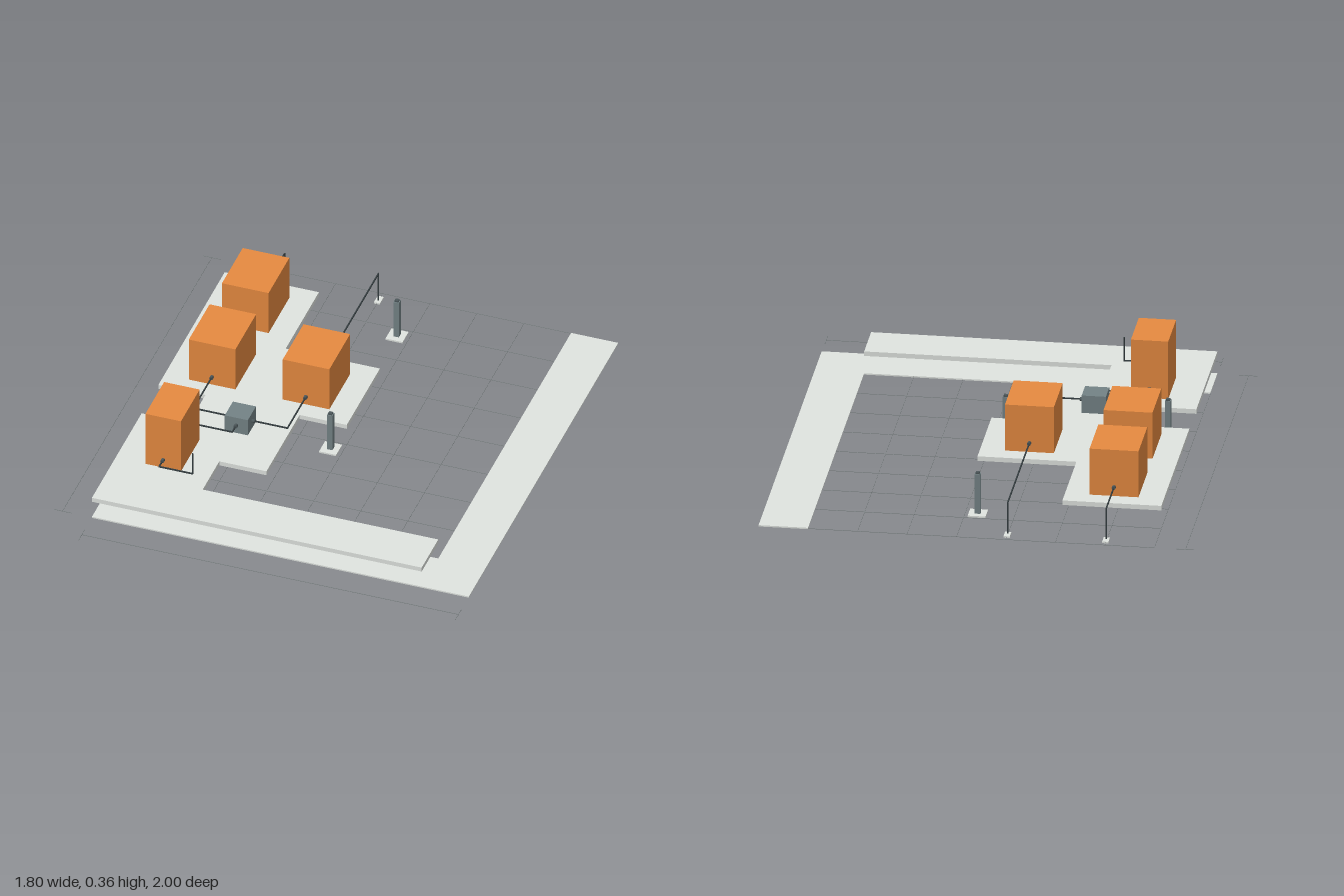
import * as THREE from 'three';

const paint = (name, color) => Object.assign(new THREE.MeshStandardMaterial({ color }), { name });

export function createModel() {
  const model = new THREE.Group();
  const concrete = paint('concrete', 0xe0e4e0);
  const orange = paint('orange', 0xe68a40);
  const slate = paint('slate', 0x748386);
  const dark = paint('dark', 0x343d40);
  const fitting = paint('fitting', 0x4d585b);
  const lineGrey = paint('lineGrey', 0x7d8485);

  // Box given by its minimum and maximum corners
  const block = (name, mat, x0, x1, y0, y1, z0, z1, parent = model) => {
    const mesh = new THREE.Mesh(new THREE.BoxGeometry(x1 - x0, y1 - y0, z1 - z0), mat);
    mesh.position.set((x0 + x1) / 2, (y0 + y1) / 2, (z0 + z1) / 2);
    mesh.name = name;
    parent.add(mesh);
  };
  // Flat plate from an outline of [x, z] points
  const plate = (name, points, y, height) => {
    const shape = new THREE.Shape(points.map(([x, z]) => new THREE.Vector2(x, -z)));
    const geo = new THREE.ExtrudeGeometry(shape, { depth: height, bevelEnabled: false });
    const mesh = new THREE.Mesh(geo.rotateX(-Math.PI / 2), concrete);
    mesh.position.y = y;
    mesh.name = name;
    model.add(mesh);
  };
  const group = (name) => {
    const g = new THREE.Group();
    g.name = name;
    model.add(g);
    return g;
  };

  // Layout cell and the site limits
  const cell = 1.633 / 8, X0 = -0.735, X1 = 0.898, Z0 = -1, Z1 = 0.833;
  const gx = (i) => X0 + i * cell, gz = (i) => Z0 + i * cell * 0.998;

  // Ground strip along the left side and front
  plate('groundStrip', [[gx(7), Z0], [X1, Z0], [X1, Z1], [X0, Z1], [X0, gz(8)], [gx(7), gz(8)]], 0, 0.006);

  // Raised stepped deck, as cell corners
  const deck = [[0, 1], [2, 1], [2, 3], [4, 3], [4, 5], [3, 5], [3, 7], [2, 7], [2, 8], [7, 8], [7, 9],
    [0, 9], [0, 6], [1, 6], [1, 5], [0, 5]];
  plate('deck', deck.map(([i, j]) => [gx(i), gz(j)]), 0.083, 0.02);

  // Ground grid
  const grid = group('groundGrid'), t = 0.0006;
  for (let i = 0; i < 7; i++) block('gridLine', lineGrey, gx(i) - t, gx(i) + t, 0.002, 0.004, Z0, gz(8), grid);
  for (let j = 0; j < 8; j++) block('gridLine', lineGrey, X0, gx(7), 0.002, 0.004, gz(j) - t, gz(j) + t, grid);

  // Dimension lines with end ticks
  const dims = group('dimensionLines'), d = 0.001;
  block('sideLine', lineGrey, -0.863 - d, -0.863 + d, 0.002, 0.004, Z0, Z1, dims);
  block('frontLine', lineGrey, X0, X1, 0.002, 0.004, 0.958 - d, 0.958 + d, dims);
  for (const z of [Z0 + d, Z1]) block('sideTick', lineGrey, -0.9, -0.824, 0.002, 0.004, z - d, z + d, dims);
  for (const x of [X0, X1 - d]) block('frontTick', lineGrey, x - d, x + d, 0.002, 0.004, 0.921, 0.997, dims);

  // Machine housings and the junction box
  const base = 0.103, px = -0.529, qx = -0.122, hx = -0.326, hz = 0.17;
  block('backUnit', orange, px - 0.101, px + 0.101, base, 0.307, -0.72, -0.465);
  block('middleUnit', orange, px - 0.101, px + 0.101, base, 0.307, -0.313, -0.058);
  block('leftUnit', orange, qx - 0.101, qx + 0.101, base, 0.307, -0.313, -0.058);
  block('tallUnit', orange, px - 0.077, px + 0.077, base, 0.358, 0.312, 0.542);
  block('junctionBox', slate, hx - 0.05, hx + 0.05, base, 0.18, hz - 0.05, hz + 0.05);

  // Square pipe runs through lists of points
  const r = 0.0026, py = 0.143;
  const pipes = group('pipes');
  const run = (...pts) => {
    for (let i = 1; i < pts.length; i++) {
      const lo = pts[i].map((v, k) => Math.min(v, pts[i - 1][k]) - r);
      const hi = pts[i].map((v, k) => Math.max(v, pts[i - 1][k]) + r);
      block('pipe', dark, lo[0], hi[0], lo[1], hi[1], lo[2], hi[2], pipes);
    }
  };
  run([hx - 0.05, py, hz], [px, py, hz], [px, py, -0.06]);
  run([hx + 0.05, py, hz], [qx, py, hz], [qx, py, -0.06]);
  run([px, py, -0.313], [px, py, -0.465]);
  run([px, py, -0.72], [px, py, -0.946], [px, 0.01, -0.946]);
  run([qx, py, -0.313], [qx, py, -0.946], [qx, 0.01, -0.946]);
  run([hx, py, hz + 0.05], [hx, py, 0.27], [px, py, 0.27], [px, py, 0.31]);
  run([px, py, 0.54], [px, py, 0.592], [-0.384, py, 0.592], [-0.384, 0.243, 0.592]);

  // Round couplings where pipes meet the housings
  const coupling = (x, z, alongX) => {
    const geo = new THREE.CylinderGeometry(0.008, 0.008, 0.016, 12);
    const mesh = new THREE.Mesh(alongX ? geo.rotateZ(Math.PI / 2) : geo.rotateX(Math.PI / 2), fitting);
    mesh.position.set(x, py, z);
    mesh.name = 'coupling';
    pipes.add(mesh);
  };
  for (const z of [-0.726, -0.459, -0.319, -0.052, 0.306, 0.548]) coupling(px, z, false);
  for (const z of [-0.319, -0.052]) coupling(qx, z, false);
  coupling(hx, hz + 0.056, false);
  for (const s of [-1, 1]) coupling(hx + s * 0.056, hz, true);

  // Small footings under the pipe drops
  for (const x of [px, qx]) block('pipeFooting', concrete, x - 0.013, x + 0.013, 0, 0.007, -0.975, -0.928);

  // Free-standing bollards on square footings
  for (const [x, z] of [[-0.633, 0.12], [0.029, 0.068], [0.029, -0.747]]) {
    const post = group('bollard');
    block('footing', concrete, x - 0.037, x + 0.037, 0, 0.007, z - 0.037, z + 0.037, post);
    block('shaft', slate, x - 0.012, x + 0.012, 0.007, 0.181, z - 0.012, z + 0.012, post);
    block('cap', fitting, x - 0.008, x + 0.008, 0.181, 0.188, z - 0.008, z + 0.008, post);
  }
  return model;
}
